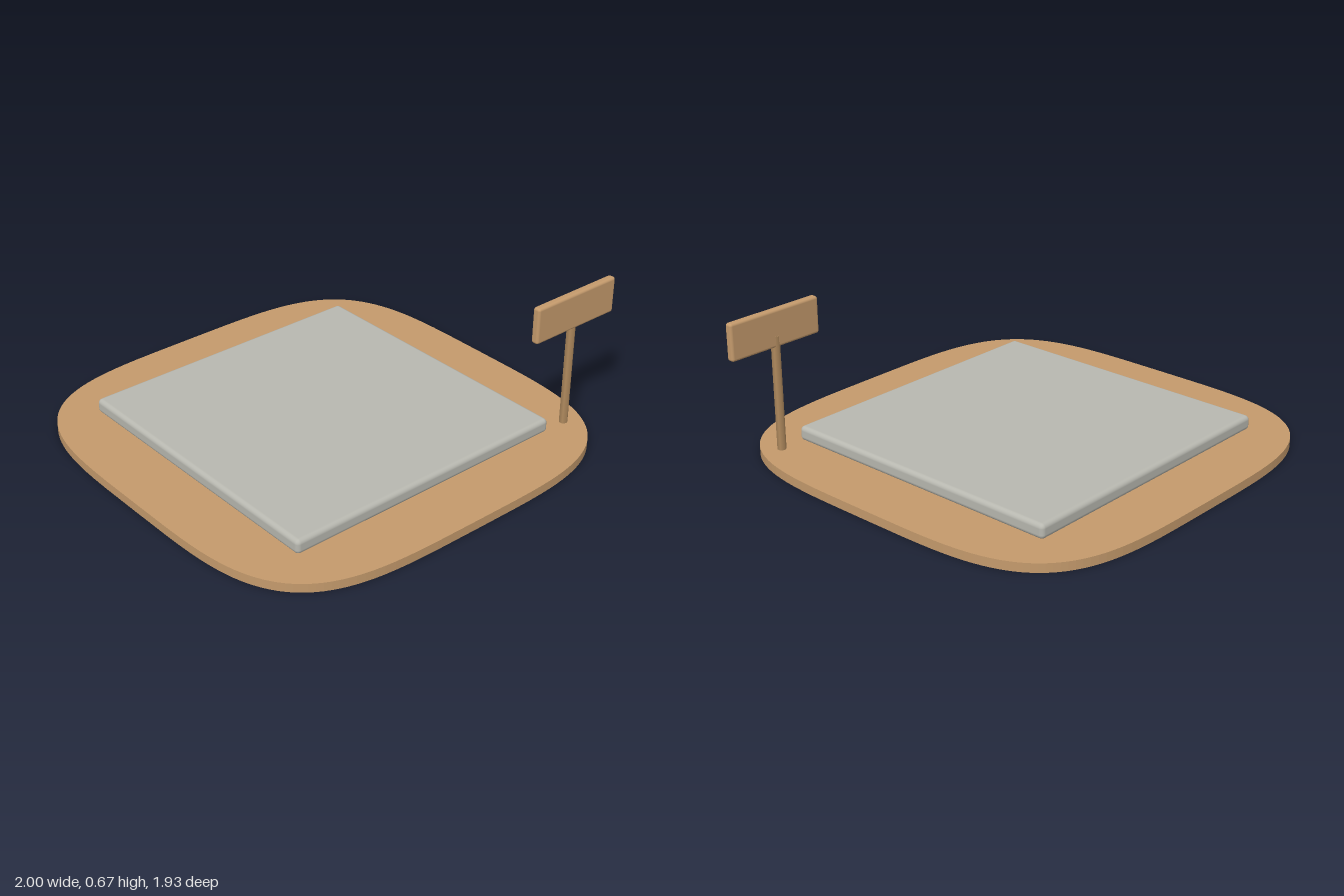
import * as THREE from 'three';
import { RoundedBoxGeometry } from 'three/addons/geometries/RoundedBoxGeometry.js';

const material = (name, color) => {
  const m = new THREE.MeshStandardMaterial({ color });
  m.name = name;
  return m;
};

export function createModel() {
  const group = new THREE.Group();
  const sand = material('sand', 0xc49a6c);
  const wood = material('post wood', 0xb08a5e);
  const stone = material('stone', 0xb8b8b0);

  const add = (name, geometry, mat, x, y, z) => {
    const mesh = new THREE.Mesh(geometry, mat);
    mesh.name = name;
    mesh.position.set(x, y, z);
    group.add(mesh);
    return mesh;
  };

  // Ground plate: a squircle outline with a thin edge
  const half = 0.963, steps = 128, outline = [];
  const soften = (v) => Math.sign(v) * Math.sqrt(Math.abs(v)) * half;
  for (let i = 0; i < steps; i++) {
    const a = (i / steps) * Math.PI * 2;
    outline.push(new THREE.Vector2(soften(Math.cos(a)), soften(Math.sin(a))));
  }
  const plate = new THREE.ExtrudeGeometry(new THREE.Shape(outline), { depth: 0.04, bevelEnabled: false });
  plate.rotateX(-Math.PI / 2);
  add('groundPlate', plate, sand, -0.037, 0, 0);

  // Square slab with softened edges
  add('slab', new RoundedBoxGeometry(1.38, 0.066, 1.38, 3, 0.02), stone, -0.037, 0.072, 0);

  // Signpost, standing at the front left corner
  add('signPost', new THREE.CylinderGeometry(0.0195, 0.0195, 0.52, 6), wood, 0.765, 0.295, 0.676);
  add('signBoard', new RoundedBoxGeometry(0.465, 0.165, 0.037, 3, 0.012), sand, 0.7675, 0.588, 0.68);

  return group;
}
